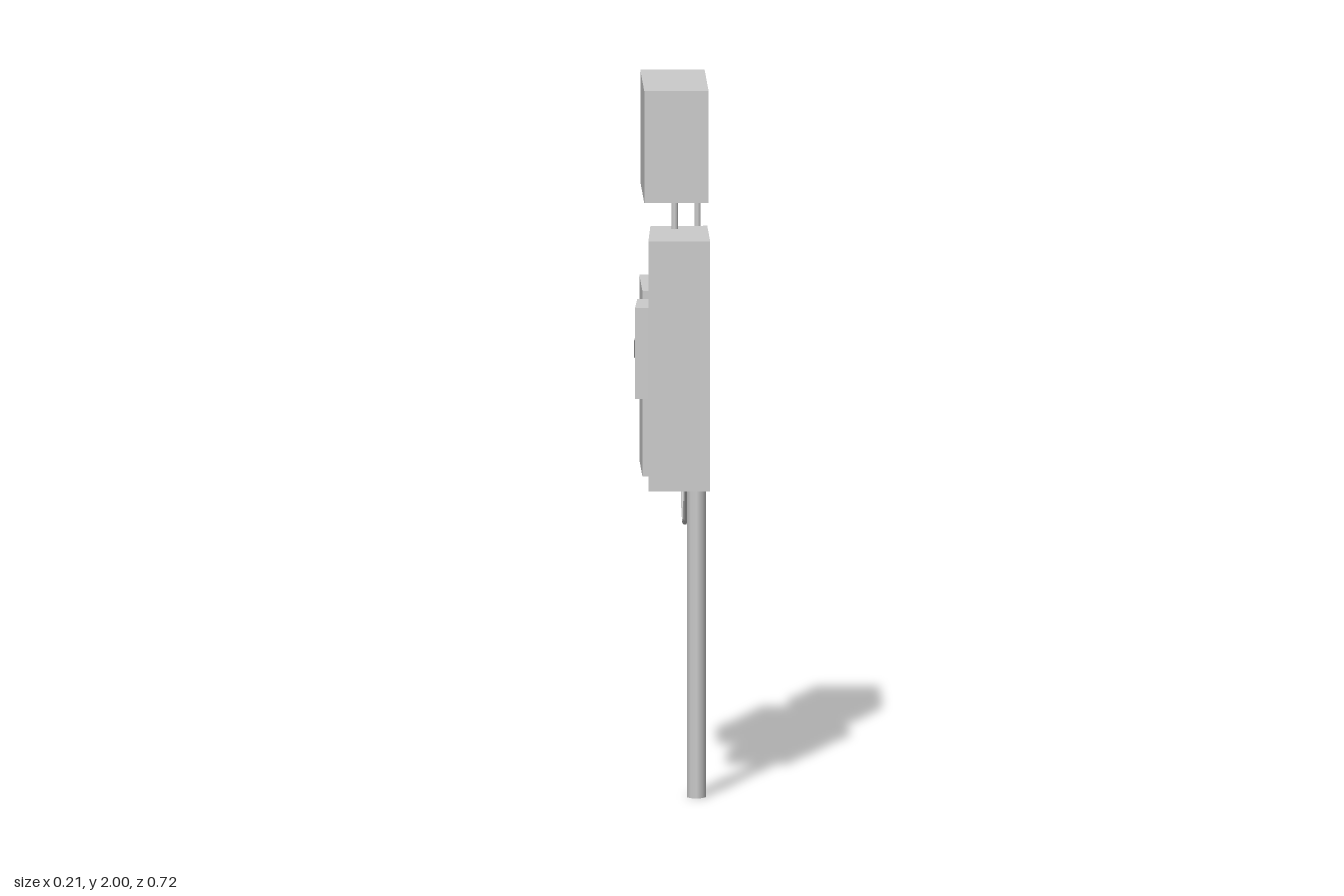
import * as THREE from 'three';

const material = new THREE.MeshStandardMaterial({ color: 0xcccccc });
const flatMaterial = new THREE.MeshStandardMaterial({ color: 0xcccccc, flatShading: true });

// Polyline whose parameter lands exactly on each corner
class Polyline extends THREE.Curve {
  constructor(points) {
    super();
    this.points = points;
  }
  getPoint(t, target = new THREE.Vector3()) {
    const s = THREE.MathUtils.clamp(t, 0, 1) * (this.points.length - 1);
    const i = Math.min(Math.floor(s), this.points.length - 2);
    return target.lerpVectors(this.points[i], this.points[i + 1], s - i);
  }
  getPointAt(t, target) {
    return this.getPoint(t, target);
  }
  getTangentAt(t, target) {
    return this.getTangent(t, target);
  }
}

export function createModel() {
  const model = new THREE.Group();
  model.name = 'utilityBoxes';

  const add = (name, geometry, mat = material) => {
    const mesh = new THREE.Mesh(geometry, mat);
    mesh.name = name;
    model.add(mesh);
    return mesh;
  };

  // Upright block from a plan outline of [x, z] corners
  const block = (name, corners, y0, y1) => {
    const shape = new THREE.Shape(corners.map(([x, z]) => new THREE.Vector2(x, -z)));
    const geometry = new THREE.ExtrudeGeometry(shape, { depth: y1 - y0, bevelEnabled: false });
    geometry.rotateX(-Math.PI / 2).translate(0, y0, 0);
    return add(name, geometry);
  };
  const rect = (x0, x1, z0, z1) => [[x0, z0], [x1, z0], [x1, z1], [x0, z1]];

  // Cabinets: the front one has a slightly slanted side
  block('topCabinet', rect(-0.077, 0.105, -0.264, 0.153), 1.68, 2);
  block('backCabinet', rect(-0.077, 0.105, -0.358, -0.04), 0.87, 1.4);
  block('frontCabinet', [[-0.057, 0.055], [0.104, 0.055], [0.104, 0.358], [-0.071, 0.358]], 0.885, 1.6);

  // Small cover and its raised latch on the slanted side
  block('sideCover', [[-0.096, 0.119], [-0.058, 0.116], [-0.066, 0.295], [-0.107, 0.292]], 1.14, 1.4);
  block('coverLatch', [[-0.1, 0.185], [-0.102, 0.215], [-0.108, 0.24], [-0.108, 0.21]].reverse(), 1.25, 1.3);

  // Oval post standing on the ground
  const post = add('post', new THREE.CylinderGeometry(1, 1, 0.9, 10));
  post.scale.set(0.028, 1, 0.039);
  post.position.set(0.067, 0.45, 0.273);

  // Conduits holding up the top cabinet
  for (const [name, x, z, y0] of [['frontConduit', 0.01, 0.112, 1.58], ['backConduit', 0.08, -0.086, 1.38]]) {
    const y1 = 1.7;
    add(name, new THREE.CylinderGeometry(0.009, 0.009, y1 - y0, 8)).position.set(x, (y0 + y1) / 2, z);
  }

  // Cable hanging between the two lower cabinets
  const sag = [[0.19, 0.9], [0.083, 0.767], [0, 0.745], [-0.085, 0.775], [-0.16, 0.89]];
  const path = new Polyline(sag.map(([z, y]) => new THREE.Vector3(0.042, y, z)));
  add('cable', new THREE.TubeGeometry(path, sag.length - 1, 0.008, 6), flatMaterial);

  return model;
}
